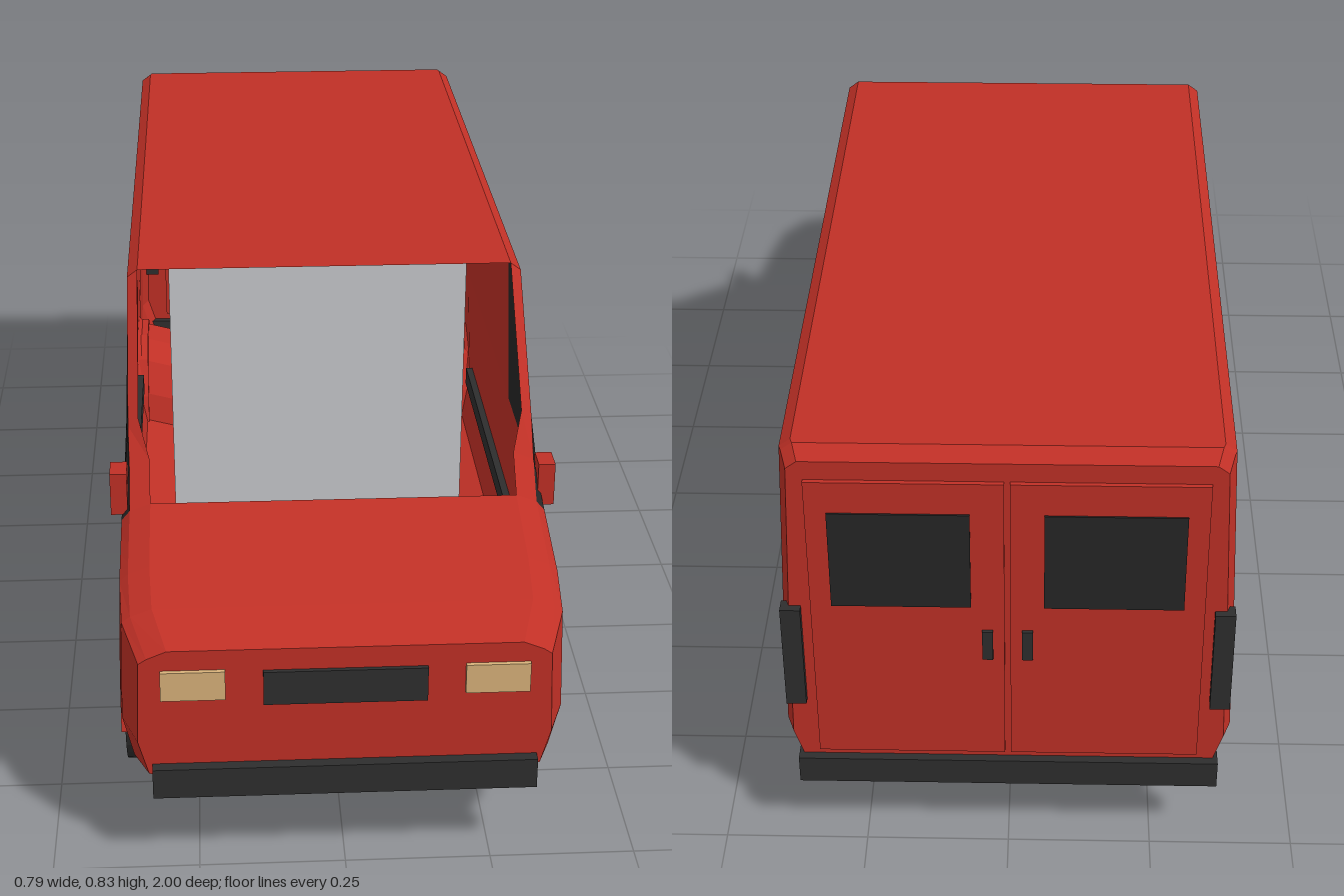
import * as THREE from 'three';

const mat = (name, color, side = THREE.FrontSide) => {
  const m = new THREE.MeshStandardMaterial({ color, side, flatShading: true });
  m.name = name;
  return m;
};

// Piecewise linear lookup in [z, value] pairs ordered from front to back
function lookup(table, z) {
  if (z >= table[0][0]) return table[0][1];
  for (let i = 1; i < table.length; i++) {
    const [z0, v0] = table[i - 1], [z1, v1] = table[i];
    if (z >= z1) return v0 + (v1 - v0) * (z0 - z) / (z0 - z1);
  }
  return table[table.length - 1][1];
}

export function createModel() {
  const van = new THREE.Group();
  van.name = 'van';
  const red = mat('redPaint', 0xc03026, THREE.DoubleSide);
  const black = mat('blackTrim', 0x2e2e2e);
  const glass = mat('darkGlass', 0x262626, THREE.DoubleSide);
  const grey = mat('lightGrey', 0xc8c9cd, THREE.DoubleSide);
  const amber = mat('headlightTan', 0xd8b27a);

  const add = (name, geo, material, x = 0, y = 0, z = 0) => {
    const m = new THREE.Mesh(geo, material);
    m.name = name;
    m.position.set(x, y, z);
    van.add(m);
    return m;
  };
  // Box given by its limits
  const box = (name, material, x0, x1, y0, y1, z0, z1) =>
    add(name, new THREE.BoxGeometry(x1 - x0, y1 - y0, z1 - z0), material,
      (x0 + x1) / 2, (y0 + y1) / 2, (z0 + z1) / 2);
  const pair = (name, material, x0, x1, ...rest) => {
    box(name + 'Left', material, x0, x1, ...rest);
    box(name + 'Right', material, -x1, -x0, ...rest);
  };

  // Body outline along its length: underside with wheel arches, top and width
  const axles = [0.63, -0.625];
  const arch = [[0.155, 0.14], [0.14, 0.2], [0.1, 0.265], [0.045, 0.297],
    [-0.045, 0.297], [-0.1, 0.265], [-0.14, 0.2], [-0.155, 0.14]];
  const archAt = c => arch.map(([dz, y]) => [c + dz, y]);
  const under = [[0.98, 0.165], [0.9, 0.15], ...archAt(axles[0]), ...archAt(axles[1]), [-0.985, 0.17]];
  const top = [[0.98, 0.415], [0.9, 0.45], [0.64, 0.512], [0.33, 0.834], [-0.96, 0.834], [-0.985, 0.815]];
  const width = [[0.98, 0.91], [0.9, 0.985], [0.8, 1], [-0.95, 1], [-0.985, 0.965]];
  const belt = [[0.98, 0.392], [0.9, 0.425], [0.64, 0.48]];

  const stations = [...new Set([...under, ...top, ...width, [0.16]].map(p => p[0]))].sort((a, b) => b - a);
  const rings = stations.map(z => {
    const b = lookup(under, z), t = lookup(top, z), w = lookup(width, z);
    const half = [[0.3, b - 0.005], [0.364, b + 0.012], [0.383, Math.max(0.24, b + 0.03)],
      [0.377, lookup(belt, z)], [t > 0.6 ? 0.364 : 0.362, t - 0.014], [t > 0.6 ? 0.345 : 0.325, t]];
    return [...half, ...half.map(([x, y]) => [-x, y]).reverse()]
      .map(([x, y]) => [x * w, y, z]);
  });

  // Skin between the sections, sorted into painted body, side glass and rear well
  const skin = { body: [], sideWindows: [], rearWellCeiling: [] };
  const n = rings[0].length;
  for (let i = 0; i < rings.length - 1; i++) {
    const mid = (stations[i] + stations[i + 1]) / 2;
    for (let j = 0; j < n; j++) {
      if (j === 5 && mid > 0.33 && mid < 0.64) continue; // open windscreen
      let part = 'body';
      if ((j === 3 || j === 7) && mid > 0.16 && mid < 0.64) part = 'sideWindows';
      if (j === 11 && Math.abs(mid - axles[1]) < 0.1) part = 'rearWellCeiling';
      const k = (j + 1) % n;
      const a = rings[i][j], b = rings[i][k], c = rings[i + 1][k], d = rings[i + 1][j];
      skin[part].push(...a, ...d, ...c, ...a, ...c, ...b);
    }
  }
  // Nose and tail faces
  const nose = rings[0], tail = rings[rings.length - 1];
  for (let j = 1; j < n - 1; j++) {
    skin.body.push(...nose[0], ...nose[j], ...nose[j + 1]);
    skin.body.push(...tail[0], ...tail[j + 1], ...tail[j]);
  }
  const skinMaterial = { body: red, sideWindows: glass, rearWellCeiling: glass };
  for (const part in skin) {
    const g = new THREE.BufferGeometry();
    g.setAttribute('position', new THREE.Float32BufferAttribute(skin[part], 3));
    g.computeVertexNormals();
    add(part, g, skinMaterial[part]);
  }

  // Cab bulkhead
  box('bulkhead', grey, -0.293, 0.293, 0.15, 0.77, 0.085, 0.095);

  // Wheels with hubs, and arch lips
  for (const z of axles) {
    for (const s of [1, -1]) {
      const tyre = add('tyre', new THREE.CylinderGeometry(0.138, 0.138, 0.083, 32), black, s * 0.338, 0.138, z);
      const hub = add('hub', new THREE.CylinderGeometry(0.088, 0.088, 0.01, 32), grey, s * 0.379, 0.138, z);
      tyre.rotation.z = hub.rotation.z = Math.PI / 2;

      const lip = new THREE.Shape();
      arch.forEach(([dz, y], i) => (i ? lip.lineTo(dz, y) : lip.moveTo(dz, y)));
      [...arch].reverse().forEach(([dz, y]) => lip.lineTo(dz * 1.08, 0.14 + (y - 0.14) * 1.14));
      const g = new THREE.ExtrudeGeometry(lip, { depth: 0.025, bevelEnabled: false });
      g.rotateY(Math.PI / 2);
      add('archLip', g, red, s > 0 ? 0.36 : -0.385, 0, z);
    }
  }

  // Front details
  box('frontBumper', black, -0.325, 0.325, 0.14, 0.196, 0.965, 1);
  box('grille', black, -0.137, 0.137, 0.312, 0.375, 0.97, 0.988);
  pair('headlight', amber, 0.2, 0.308, 0.324, 0.378, 0.97, 0.988);

  // Side details
  pair('sideMoulding', black, 0.368, 0.391, 0.242, 0.28, -0.437, 0.44);
  pair('mirror', red, 0.366, 0.396, 0.482, 0.562, 0.572, 0.622);

  // Rear doors with windows, handles, corner lamps and bumper
  pair('rearDoor', red, 0.005, 0.325, 0.205, 0.78, -0.993, -0.98);
  pair('rearWindow', glass, 0.06, 0.29, 0.53, 0.72, -0.996, -0.992);
  pair('doorHandle', black, 0.024, 0.042, 0.42, 0.48, -0.999, -0.99);
  pair('cornerLamp', black, 0.342, 0.376, 0.315, 0.52, -0.998, -0.972);
  box('rearBumper', black, -0.362, 0.362, 0.137, 0.19, -1, -0.968);

  return van;
}
